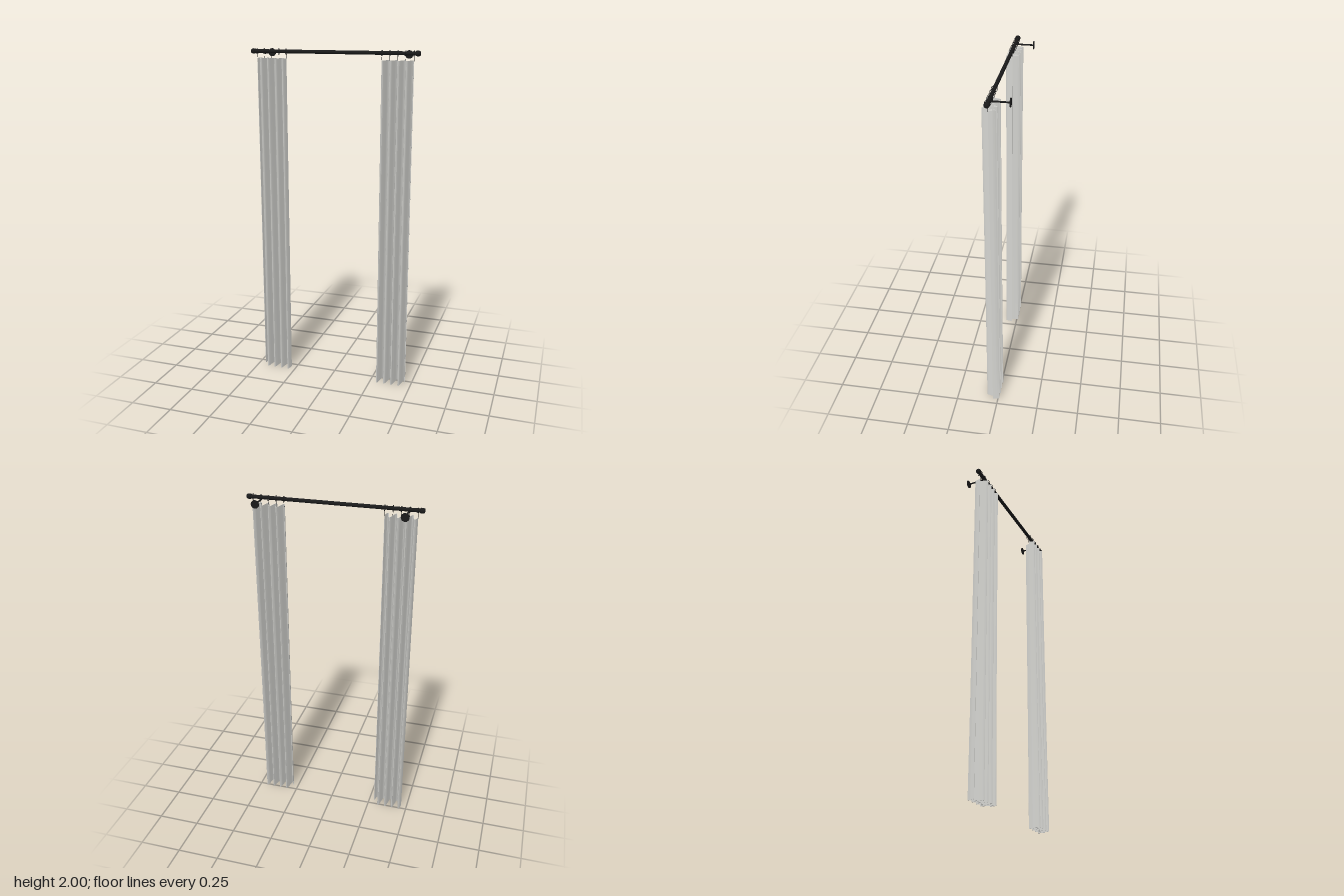
import * as THREE from 'three';
import { toCreasedNormals } from 'three/addons/utils/BufferGeometryUtils.js';

const ROD_Y = 1.984, ROD_Z = 0.031, ROD_R = 0.0105;
const INNER = 0.283, OUTER = 0.463, FOLDS = 4;
const CURTAIN_TOP = 1.945;

// Thin wavy ribbon extruded upwards, its folds opening slightly towards the hem
function curtainGeometry(side) {
  const width = OUTER - INNER, x0 = side > 0 ? INNER : -OUTER;
  const amp = 0.037, half = 0.0011, n = FOLDS * 24, k = 2 * Math.PI * FOLDS / width;
  const front = [], back = [];
  for (let i = 0; i <= n; i++) {
    const x = width * i / n;
    const y = -side * amp * Math.sin(k * x);
    const slope = -side * amp * k * Math.cos(k * x);
    const len = Math.hypot(1, slope);
    const nx = -slope / len * half, ny = half / len;
    front.push(new THREE.Vector2(x0 + x + nx, y + ny));
    back.push(new THREE.Vector2(x0 + x - nx, y - ny));
  }
  const shape = new THREE.Shape([...front, ...back.reverse()]);
  const geo = new THREE.ExtrudeGeometry(shape, { depth: CURTAIN_TOP, steps: 8, bevelEnabled: false });
  geo.rotateX(-Math.PI / 2);
  const p = geo.attributes.position;
  for (let i = 0; i < p.count; i++) {
    const flare = 1 + 0.08 * Math.pow(1 - p.getY(i) / CURTAIN_TOP, 4);
    p.setZ(i, ROD_Z + p.getZ(i) * flare);
  }
  return toCreasedNormals(geo, 0.9);
}

export function createModel() {
  const model = new THREE.Group();
  model.name = 'curtainsOnRod';
  const metal = new THREE.MeshStandardMaterial({ color: 0x1a1a1a });
  metal.name = 'black metal';
  const fabric = new THREE.MeshStandardMaterial({ color: 0xd4d4d0, side: THREE.DoubleSide });
  fabric.name = 'pale grey fabric';

  const add = (parent, name, geo, mat, x = 0, y = 0, z = 0) => {
    const mesh = new THREE.Mesh(geo, mat);
    mesh.name = name;
    mesh.position.set(x, y, z);
    parent.add(mesh);
    return mesh;
  };

  // Rod along x
  add(model, 'rod', new THREE.CylinderGeometry(ROD_R, ROD_R, 0.96, 24).rotateZ(Math.PI / 2), metal, 0, ROD_Y, ROD_Z);

  // Rounded end cap profile, revolved around the rod axis
  const capProfile = [[0, 0], [0.012, 0], [0.0145, 0.004], [0.015, 0.012], [0.0145, 0.02], [0.011, 0.026], [0, 0.028]]
    .map(([r, h]) => new THREE.Vector2(r, h));

  for (const side of [-1, 1]) {
    const half = new THREE.Group();
    half.name = side > 0 ? 'leftHalf' : 'rightHalf';
    model.add(half);

    const cap = new THREE.LatheGeometry(capProfile, 24).rotateZ(-side * Math.PI / 2);
    add(half, 'finial', cap, metal, side * 0.472, ROD_Y, ROD_Z);

    add(half, 'curtain', curtainGeometry(side), fabric);

    // Wall bracket: plate, arm and cradle under the rod
    const bracket = new THREE.Group();
    bracket.name = 'bracket';
    bracket.position.set(side * 0.413, 1.973, 0);
    half.add(bracket);
    add(bracket, 'wallPlate', new THREE.CylinderGeometry(0.023, 0.023, 0.005, 32).rotateX(Math.PI / 2), metal, 0, 0, -0.0725);
    add(bracket, 'arm', new THREE.CylinderGeometry(0.0045, 0.0045, 0.103, 16).rotateX(Math.PI / 2), metal, 0, 0, -0.0205);
    const cradle = new THREE.TorusGeometry(0.0115, 0.003, 8, 16, Math.PI).rotateZ(Math.PI).rotateY(Math.PI / 2);
    add(bracket, 'cradle', cradle, metal, 0, ROD_Y - 1.973, ROD_Z);

    // Rings and hooks, one per fold line
    for (let i = 0; i <= FOLDS; i++) {
      const x = side * (INNER + (OUTER - INNER) * i / FOLDS);
      add(half, 'ring', new THREE.TorusGeometry(0.0155, 0.0015, 8, 28).rotateY(Math.PI / 2), metal, x, 1.983, ROD_Z);
      add(half, 'hook', new THREE.CylinderGeometry(0.0012, 0.0012, 0.03, 8), metal, x, 1.953, ROD_Z);
    }
  }
  return model;
}
